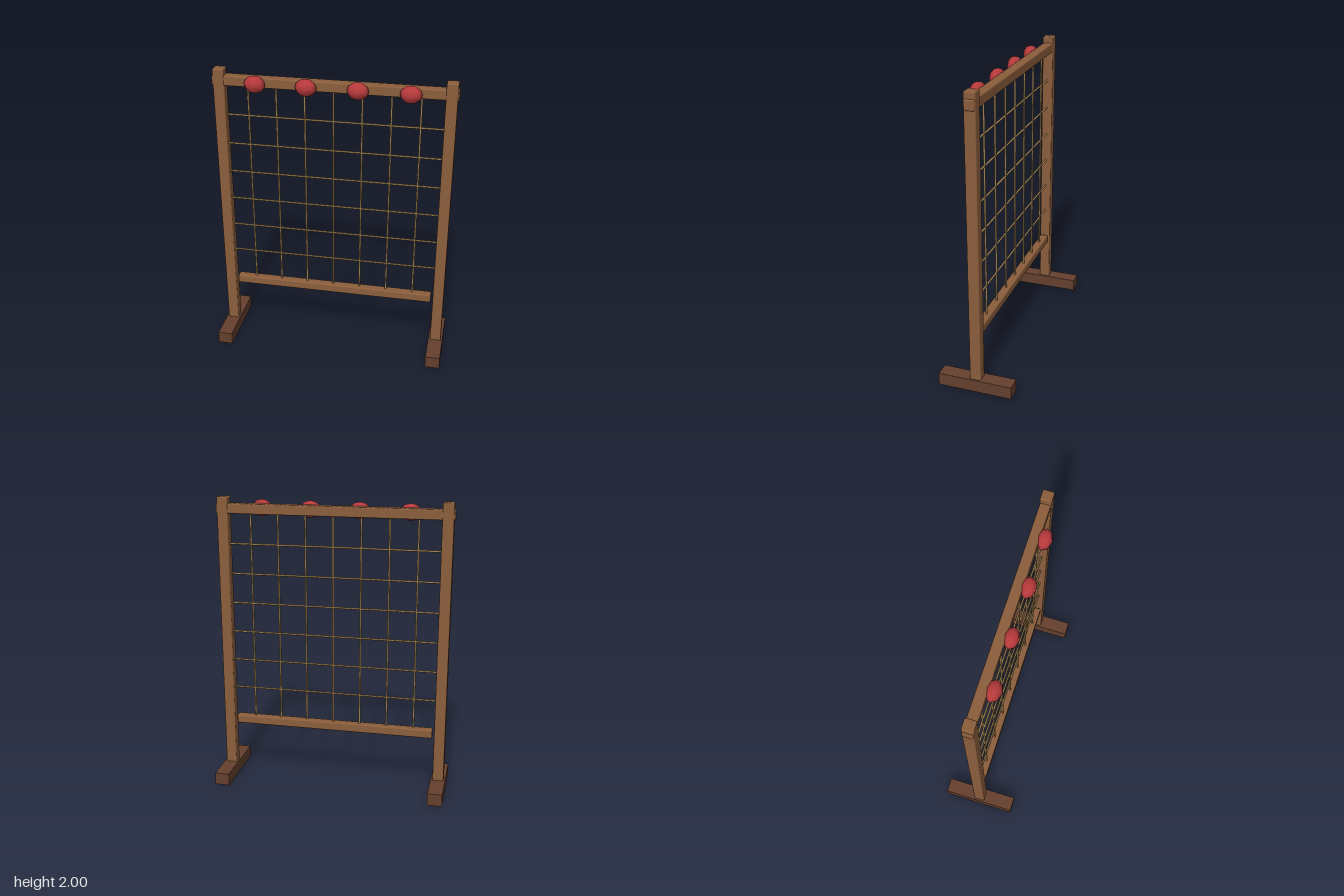
import * as THREE from 'three';
import { RoundedBoxGeometry } from 'three/addons/geometries/RoundedBoxGeometry.js';

const paint = (name, color) => {
  const m = new THREE.MeshStandardMaterial({ color });
  m.name = name;
  return m;
};

export function createModel() {
  const wood = paint('timber brown', 0x8b5e3c);
  const darkWood = paint('dark timber', 0x65402d);
  const rope = paint('rope tan', 0xa08252);
  const red = paint('grip red', 0xb83a3c);

  const model = new THREE.Group();
  model.name = 'climbingNetFrame';
  const add = (name, geometry, material, x, y, z) => {
    const mesh = new THREE.Mesh(geometry, material);
    mesh.name = name;
    mesh.position.set(x, y, z);
    model.add(mesh);
    return mesh;
  };

  // Posts standing on crosswise feet
  for (const [side, s] of [['left', 1], ['right', -1]]) {
    add(side + 'Post', new RoundedBoxGeometry(0.075, 1.998, 0.075, 2, 0.009), wood, s * 0.75, 1.001, 0);
    add(side + 'Foot', new THREE.BoxGeometry(0.1, 0.085, 0.5), darkWood, s * 0.75, 0.0425, 0);
  }

  // Top beam runs through the posts, bottom rail hangs between them
  add('topBeam', new RoundedBoxGeometry(1.592, 0.068, 0.068, 2, 0.009), wood, 0, 1.922, 0);
  add('bottomRail', new RoundedBoxGeometry(1.395, 0.06, 0.06, 2, 0.009), wood, 0, 0.42, 0);

  // Net of vertical and horizontal ropes
  const upright = new THREE.CylinderGeometry(0.007, 0.007, 1.48, 6);
  for (let i = -3; i <= 3; i++) add('verticalRope', upright, rope, i * 0.188, 1.17, 0);
  const crosswise = new THREE.CylinderGeometry(0.007, 0.007, 1.45, 6).rotateZ(Math.PI / 2);
  for (let i = 0; i < 6; i++) add('horizontalRope', crosswise, rope, 0, 0.658 + i * 0.205, 0);

  // Oval grips on the front of the beam
  const grip = new THREE.SphereGeometry(1, 8, 6).scale(0.071, 0.057, 0.05);
  for (let i = 0; i < 4; i++) add('grip', grip, red, -0.5 + i / 3, 1.922, 0.06);

  return model;
}
